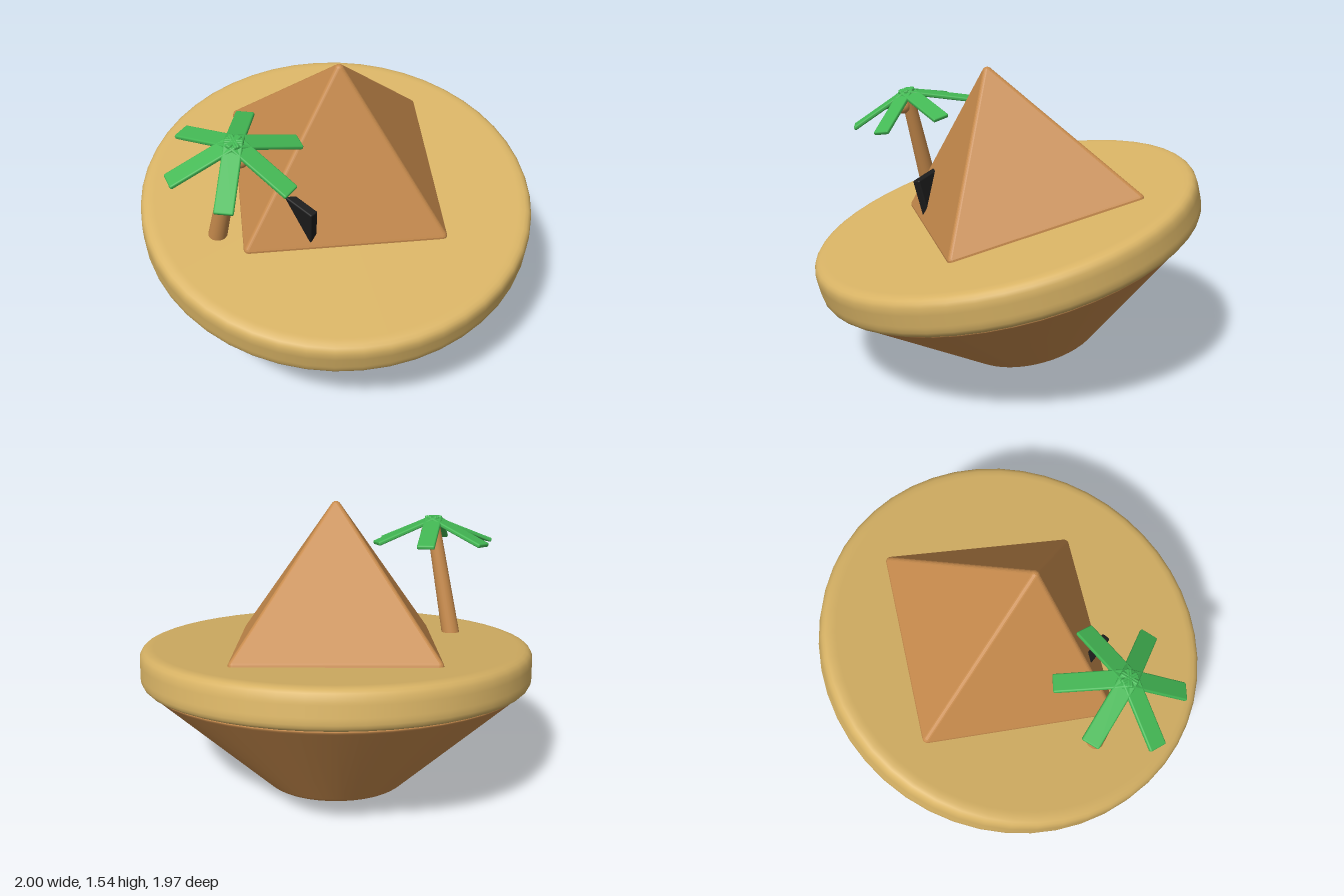
import * as THREE from 'three';
import { ConvexGeometry } from 'three/addons/geometries/ConvexGeometry.js';
import { RoundedBoxGeometry } from 'three/addons/geometries/RoundedBoxGeometry.js';

const TILT = THREE.MathUtils.degToRad(14);

function material(name, color) {
  const m = new THREE.MeshStandardMaterial({ color });
  m.name = name;
  return m;
}

function addMesh(parent, name, geometry, mat, x = 0, y = 0, z = 0) {
  const mesh = new THREE.Mesh(geometry, mat);
  mesh.name = name;
  mesh.position.set(x, y, z);
  parent.add(mesh);
  return mesh;
}

// Turned solid with rounded rims; corners are [radius, y, rounding] from bottom to top.
function turned(corners, segments) {
  const pts = [new THREE.Vector2(0, corners[0][1])];
  corners.forEach(([r, y, round], i) => {
    const p = new THREE.Vector2(r, y);
    const before = i ? new THREE.Vector2(...corners[i - 1].slice(0, 2)) : new THREE.Vector2(0, y);
    const after = i < corners.length - 1 ? new THREE.Vector2(...corners[i + 1].slice(0, 2)) : new THREE.Vector2(0, y);
    const toward = (q, d) => p.clone().add(q.clone().sub(p).setLength(d));
    const a = toward(before, round), b = toward(after, round);
    pts.push(toward(before, round * 1.2), ...new THREE.QuadraticBezierCurve(a, p, b).getPoints(5), toward(after, round * 1.2));
  });
  pts.push(new THREE.Vector2(0, corners[corners.length - 1][1]));
  return new THREE.LatheGeometry(pts, segments);
}

// Pyramid with rounded edges: the hull of small balls at its corners.
function roundedPyramid(half, height, radius) {
  const ball = new THREE.SphereGeometry(radius, 16, 8).getAttribute('position');
  const centres = [new THREE.Vector3(0, height - radius, 0)];
  for (const sx of [-1, 1]) for (const sz of [-1, 1]) {
    centres.push(new THREE.Vector3(sx * (half - radius), 0, sz * (half - radius)));
  }
  const points = [];
  for (const c of centres) {
    for (let i = 0; i < ball.count; i++) points.push(new THREE.Vector3().fromBufferAttribute(ball, i).add(c));
  }
  return new ConvexGeometry(points);
}

function createPalm(wood, green) {
  const palm = new THREE.Group();
  palm.name = 'palmTree';

  // Leaning trunk
  const base = new THREE.Vector3(-0.62, 0.09, 0.255);
  const top = new THREE.Vector3(-0.51, 0.7, 0.25);
  const axis = top.clone().sub(base);
  const trunk = addMesh(palm, 'trunk', new THREE.CylinderGeometry(0.034, 0.047, axis.length(), 20), wood);
  trunk.position.copy(base).add(top).multiplyScalar(0.5);
  trunk.quaternion.setFromUnitVectors(new THREE.Vector3(0, 1, 0), axis.normalize());

  addMesh(palm, 'coconut', new THREE.SphereGeometry(0.036, 20, 14), wood, -0.49, 0.64, 0.292);

  // Six drooping fronds around the crown
  const crown = new THREE.Group();
  crown.name = 'crown';
  crown.position.set(-0.515, 0.712, 0.248);
  palm.add(crown);
  const frondGeometry = new RoundedBoxGeometry(0.36, 0.022, 0.09, 2, 0.008);
  frondGeometry.translate(0.165, 0, 0);
  for (let i = 0; i < 6; i++) {
    const frond = addMesh(crown, 'frond', frondGeometry, green);
    frond.rotation.order = 'YXZ';
    frond.rotation.set(0, -THREE.MathUtils.degToRad(42 + i * 60), THREE.MathUtils.degToRad(-21));
  }
  return palm;
}

export function createModel() {
  const sand = material('sand', 0xd8b365);
  const brown = material('brown', 0xc68a4c);
  const green = material('leaf green', 0x43b854);
  const black = material('door black', 0x1c1c1c);

  const model = new THREE.Group();
  model.name = 'floatingDesertIsland';

  // Everything shares one forward tilt
  const island = new THREE.Group();
  island.name = 'island';
  island.position.y = 0.71;
  island.rotation.x = TILT;
  model.add(island);

  addMesh(island, 'sandDisc', turned([[1, -0.1, 0.06], [1, 0.1, 0.06]], 48), sand);
  addMesh(island, 'rockUnderside', turned([[0.335, -0.655, 0.035], [0.965, -0.098, 0.025]], 48), brown);
  addMesh(island, 'pyramid', roundedPyramid(0.5, 0.725, 0.025), brown, 0, 0.1, -0.102);

  // Slab door set askew in the front face
  const door = addMesh(island, 'door', new RoundedBoxGeometry(0.24, 0.25, 0.045, 2, 0.008), black, -0.237, 0.2, 0.278);
  door.rotation.y = THREE.MathUtils.degToRad(-50);

  island.add(createPalm(brown, green));
  return model;
}
